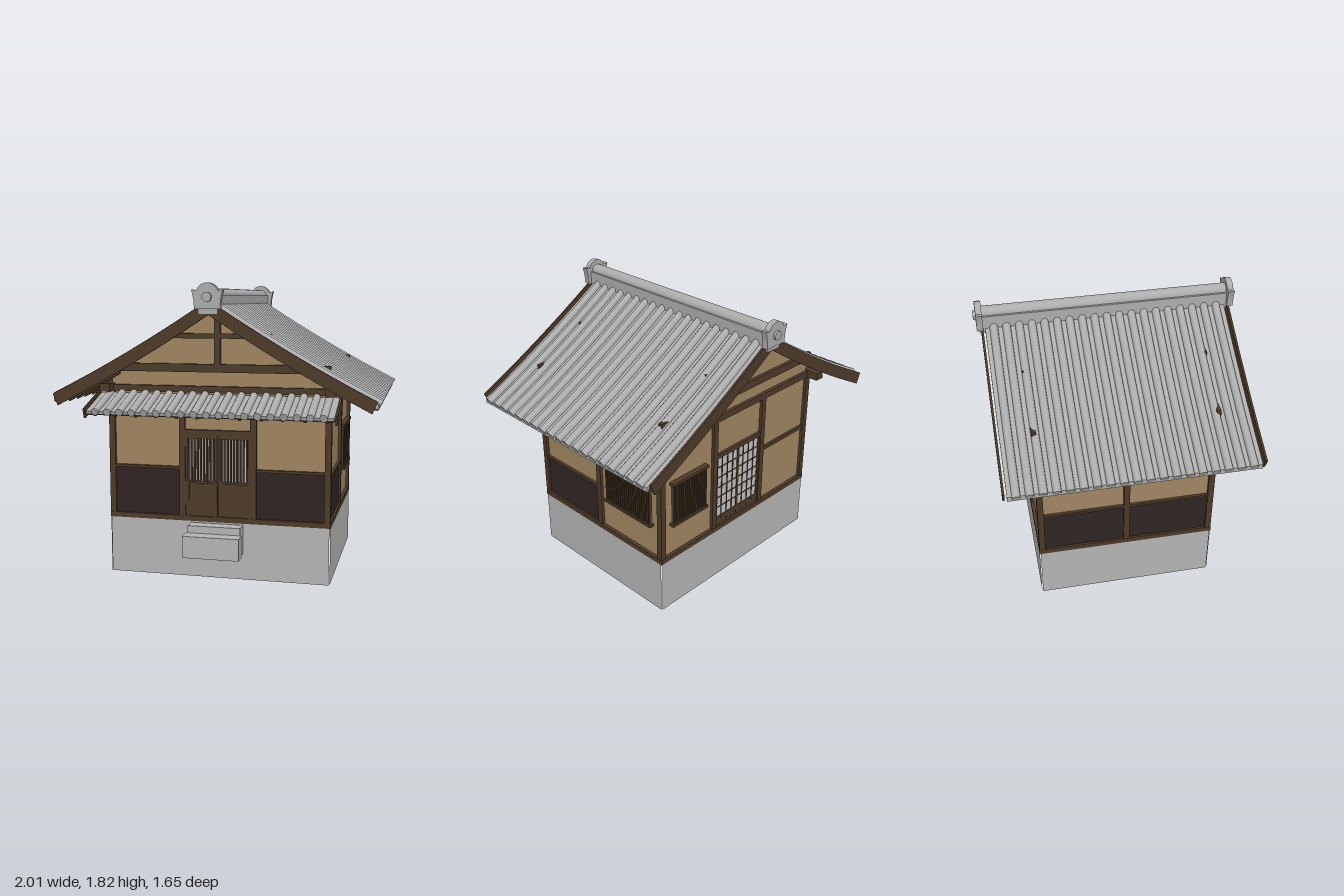
import * as THREE from 'three';

const mat = (name, color) => Object.assign(new THREE.MeshStandardMaterial({ color }), { name });

export function createModel() {
  const timber = mat('timber', 0x4d3a29), plaster = mat('plaster', 0xa08562), dark = mat('darkBoards', 0x2f2424);
  const stone = mat('stone', 0xb4b4b4), tile = mat('roofTile', 0xacacac), paper = mat('paper', 0xc2c2c2);
  stone.side = tile.side = THREE.DoubleSide;
  const model = new THREE.Group();
  model.name = 'house';

  const group = (name, parent = model) => {
    const g = new THREE.Group();
    g.name = name;
    parent.add(g);
    return g;
  };
  const add = (parent, name, geo, m) => {
    const mesh = new THREE.Mesh(geo, m);
    mesh.name = name;
    parent.add(mesh);
    return mesh;
  };
  // box given by its limits on each axis
  const box = (parent, name, m, x0, x1, y0, y1, z0, z1) => {
    const mesh = add(parent, name, new THREE.BoxGeometry(x1 - x0, y1 - y0, z1 - z0), m);
    mesh.position.set((x0 + x1) / 2, (y0 + y1) / 2, (z0 + z1) / 2);
    return mesh;
  };
  const extrude = (parent, name, m, shape, z0, z1) => {
    const geo = new THREE.ExtrudeGeometry(shape, { depth: z1 - z0, bevelEnabled: false, curveSegments: 16 });
    return add(parent, name, geo.translate(0, 0, z0), m);
  };

  // gently sagging roof line
  const roofY = x => 1.705 - 0.655 * Math.abs(x) + 0.08 * x * x;
  // strip following the roof line, from x0 to x1
  const band = (parent, name, m, x0, x1, top, bottom, z0, z1, inset = 0) => {
    const pts = [], n = 12;
    for (let i = 0; i <= n; i++) {
      const x = x0 + (x1 - x0) * i / n;
      pts.push(new THREE.Vector2(x, roofY(x) + top));
    }
    for (let i = n; i >= 0; i--) {
      const x = x0 + inset + (x1 - x0 - 2 * inset) * i / n;
      pts.push(new THREE.Vector2(x, roofY(x) + bottom));
    }
    return extrude(parent, name, m, new THREE.Shape(pts), z0, z1);
  };

  // hollow stone base, open below
  const base = group('foundation');
  for (const [w, x, z, r] of [[1.39, 0, 0.545, 0], [1.39, 0, -0.58, Math.PI],
    [1.115, 0.7, -0.0175, Math.PI / 2], [1.115, -0.7, -0.0175, -Math.PI / 2]]) {
    const side = add(base, 'foundationSide', new THREE.PlaneGeometry(w, 0.355), stone);
    side.position.set(x, 0.1775, z);
    side.rotation.y = r;
  }
  box(base, 'floor', stone, -0.695, 0.695, 0.345, 0.355, -0.575, 0.54);
  const steps = group('steps');
  box(steps, 'upperStep', stone, -0.165, 0.165, 0.17, 0.35, 0.56, 0.645);
  box(steps, 'lowerStep', stone, -0.175, 0.175, 0.17, 0.305, 0.645, 0.73);

  // plastered body with gable ends
  const body = new THREE.Shape([[-0.68, 0.355], [0.68, 0.355], [0.68, roofY(0.68) - 0.02], [0, 1.685], [-0.68, roofY(0.68) - 0.02]]
    .map(p => new THREE.Vector2(...p)));
  extrude(model, 'walls', plaster, body, -0.56, 0.525);

  // each wall is framed in its own space, facing local +z
  const wall = (name, x, z, turn, left, right, posts, top) => {
    const g = group(name);
    g.position.set(x, 0, z);
    g.rotation.y = turn;
    box(g, 'sill', timber, left, right, 0.355, 0.387, 0, 0.022);
    for (const p of posts) box(g, 'post', timber, p - 0.019, p + 0.019, 0.36, top, -0.01, 0.02);
    return g;
  };
  const wainscot = (g, x0, x1, top) => {
    box(g, 'wainscot', dark, x0, x1, 0.387, top, 0, 0.008);
    box(g, 'wainscotRail', timber, x0, x1, top - 0.006, top + 0.01, 0, 0.018);
  };
  // paper pane behind closely set bars
  const lattice = (g, x0, x1, y0, y1, count) => {
    box(g, 'pane', paper, x0, x1, y0, y1, 0.002, 0.009);
    const pitch = (x1 - x0) / count;
    for (let i = 0; i <= count; i++) {
      const x = x0 + i * pitch;
      box(g, 'latticeBar', timber, x - pitch * 0.24, x + pitch * 0.24, y0, y1, 0.008, 0.026);
    }
  };
  const barredWindow = (g, x0, x1, count) => {
    lattice(g, x0 + 0.015, x1 - 0.015, 0.61, 0.89, count);
    box(g, 'windowHead', timber, x0, x1, 0.885, 0.905, 0, 0.034);
    box(g, 'windowSill', timber, x0, x1, 0.595, 0.612, 0, 0.034);
  };

  const front = wall('frontWall', 0, 0.525, 0, -0.7, 0.7, [-0.681, -0.225, 0.225, 0.681], 1.17);
  wainscot(front, -0.664, -0.243, 0.685);
  wainscot(front, 0.243, 0.664, 0.685);
  const back = wall('backWall', 0, -0.56, Math.PI, -0.7, 0.7, [-0.681, -0.225, 0.225, 0.681], 1.17);
  const right = wall('rightWall', 0.68, 0, Math.PI / 2, -0.545, 0.58, [-0.526, 0.017, 0.561], 1.18);
  wainscot(right, -0.507, -0.002, 0.665);
  barredWindow(right, 0.08, 0.495, 20);
  const left = wall('leftWall', -0.68, 0, -Math.PI / 2, -0.58, 0.545, [-0.561, -0.017, 0.526], 1.18);
  wainscot(left, -0.542, -0.036, 0.665);
  wainscot(left, 0.002, 0.507, 0.665);
  barredWindow(back, -0.61, -0.3, 15);
  box(back, 'middleRail', timber, 0.243, 0.664, 0.77, 0.795, 0, 0.016);

  // sliding front doors
  box(front, 'doorHead', timber, -0.207, 0.207, 0.895, 0.93, 0, 0.018);
  for (const s of [-1, 1]) {
    const c = s * 0.105;
    box(front, 'doorPanel', timber, c - 0.1, c + 0.1, 0.387, 0.605, 0, 0.008);
    lattice(front, c - 0.08, c + 0.08, 0.605, 0.875, 8);
    box(front, 'doorRail', timber, c - 0.1, c + 0.1, 0.595, 0.61, 0, 0.02);
    box(front, 'doorTopRail', timber, c - 0.1, c + 0.1, 0.873, 0.897, 0, 0.014);
    for (const e of [-1, 1]) box(front, 'doorStile', timber, c + e * 0.09 - 0.012, c + e * 0.09 + 0.012, 0.387, 0.897, 0, 0.014);
  }

  // paper screens at the back
  box(back, 'screenHead', timber, -0.207, 0.207, 0.895, 0.925, 0, 0.018);
  box(back, 'screenKickboard', timber, -0.207, 0.207, 0.387, 0.45, 0, 0.01);
  box(back, 'screenPaper', paper, -0.207, 0.207, 0.45, 0.897, 0, 0.006);
  for (let i = 0; i <= 8; i++) {
    const x = -0.2 + i * 0.05, w = i % 4 === 0 ? 0.009 : 0.003;
    box(back, 'screenUpright', timber, x - w, x + w, 0.4, 0.897, 0, 0.011);
  }
  for (let i = 0; i <= 6; i++) {
    const y = 0.45 + i * 0.074;
    box(back, 'screenBar', timber, -0.207, 0.207, y - 0.003, y + 0.003, 0, 0.01);
  }

  // gable timbers
  for (const g of [front, back]) {
    box(g, 'tieBeam', timber, -0.7, 0.7, 1.16, 1.2, -0.005, 0.022);
    box(g, 'gableBeam', timber, -0.69, 0.69, 1.285, 1.335, -0.005, 0.022);
    box(g, 'collarBeam', timber, -0.335, 0.335, 1.49, 1.52, -0.005, 0.022);
    box(g, 'kingPost', timber, -0.019, 0.019, 1.33, 1.68, -0.005, 0.02);
  }

  // main roof: slab, round tile ribs, boards and rafters
  const roof = group('mainRoof');
  band(roof, 'roofSlab', tile, -0.985, 0.985, 0, -0.03, -0.765, 0.725);
  for (const z of [0.74, -0.79]) band(roof, 'bargeboard', timber, -0.98, 0.98, 0.015, -0.07, z, z + 0.013, 0.03);
  const rib = (parent, curve, r) => {
    add(parent, 'tileRib', new THREE.TubeGeometry(curve, 8, r, 12), tile);
    const cap = add(parent, 'tileRibEnd', new THREE.CircleGeometry(r, 12), tile);
    const end = curve.getPoint(1);
    cap.position.copy(end);
    cap.quaternion.setFromUnitVectors(new THREE.Vector3(0, 0, 1), curve.getTangent(1));
  };
  for (const s of [-1, 1]) {
    const pts = [0.03, 0.25, 0.5, 0.75, 0.995].map(x => new THREE.Vector3(s * x, roofY(x), 0));
    for (let i = 0; i < 19; i++) {
      const z = 0.672 - i * 0.077;
      rib(roof, new THREE.CatmullRomCurve3(pts.map(p => p.clone().setZ(z))), 0.025);
    }
    box(roof, 'eaveBoard', timber, s * 0.968 - 0.011, s * 0.968 + 0.011, 1.103, 1.135, -0.765, 0.725);
    box(roof, 'wallPlate', timber, s * 0.697 - 0.032, s * 0.697 + 0.032, 1.16, 1.21, -0.66, 0.62);
    for (let i = 0; i <= 10; i++) {
      const z = 0.55 - i * 0.124;
      band(roof, 'rafter', timber, s > 0 ? 0.62 : -0.96, s > 0 ? 0.96 : -0.62, -0.028, -0.062, z - 0.011, z + 0.011);
    }
  }

  // ridge with rounded cap and end ornaments
  const ridge = new THREE.Shape();
  ridge.moveTo(-0.055, 1.64).lineTo(0.055, 1.64).lineTo(0.055, 1.75).lineTo(0.042, 1.75);
  ridge.absellipse(0, 1.75, 0.042, 0.04, 0, Math.PI, false);
  ridge.lineTo(-0.055, 1.75);
  extrude(roof, 'ridge', tile, ridge, -0.8, 0.76);
  const ornament = new THREE.Shape();
  ornament.moveTo(-0.078, 1.67).lineTo(0.078, 1.67);
  ornament.quadraticCurveTo(0.076, 1.72, 0.094, 1.78).lineTo(0.062, 1.775);
  ornament.absarc(0, 1.752, 0.068, 0.35, Math.PI - 0.35, false);
  ornament.lineTo(-0.094, 1.78).quadraticCurveTo(-0.076, 1.72, -0.078, 1.67);
  for (const [z, s] of [[0.757, 1], [-0.797, -1]]) {
    extrude(roof, 'ridgeOrnament', tile, ornament, z - 0.019, z + 0.019);
    const boss = add(roof, 'ridgeBoss', new THREE.CylinderGeometry(0.028, 0.028, 0.02, 20), tile);
    boss.position.set(0, 1.738, z + s * 0.024);
    boss.rotation.x = Math.PI / 2;
  }

  // sloping canopy over the entrance
  const canopy = group('canopy');
  canopy.position.set(0, 1.15, 0.54);
  canopy.rotation.x = 0.318;
  box(canopy, 'canopySlab', tile, -0.745, 0.745, -0.02, 0, 0, 0.28);
  box(canopy, 'canopyEaveBoard', timber, -0.745, 0.745, -0.03, -0.012, 0.25, 0.27);
  for (let i = 0; i < 19; i++) {
    const x = -0.685 + i * 0.0761;
    rib(canopy, new THREE.LineCurve3(new THREE.Vector3(x, 0, 0), new THREE.Vector3(x, 0, 0.29)), 0.023);
  }
  for (const s of [-1, 1]) box(canopy, 'canopySideBoard', timber, s * 0.757 - 0.006, s * 0.757 + 0.006, -0.045, 0.015, 0, 0.285);
  for (let i = 0; i < 12; i++) {
    const x = -0.7 + i * 0.1273;
    box(canopy, 'canopyRafter', timber, x - 0.009, x + 0.009, -0.042, -0.018, 0, 0.262);
  }
  return model;
}
